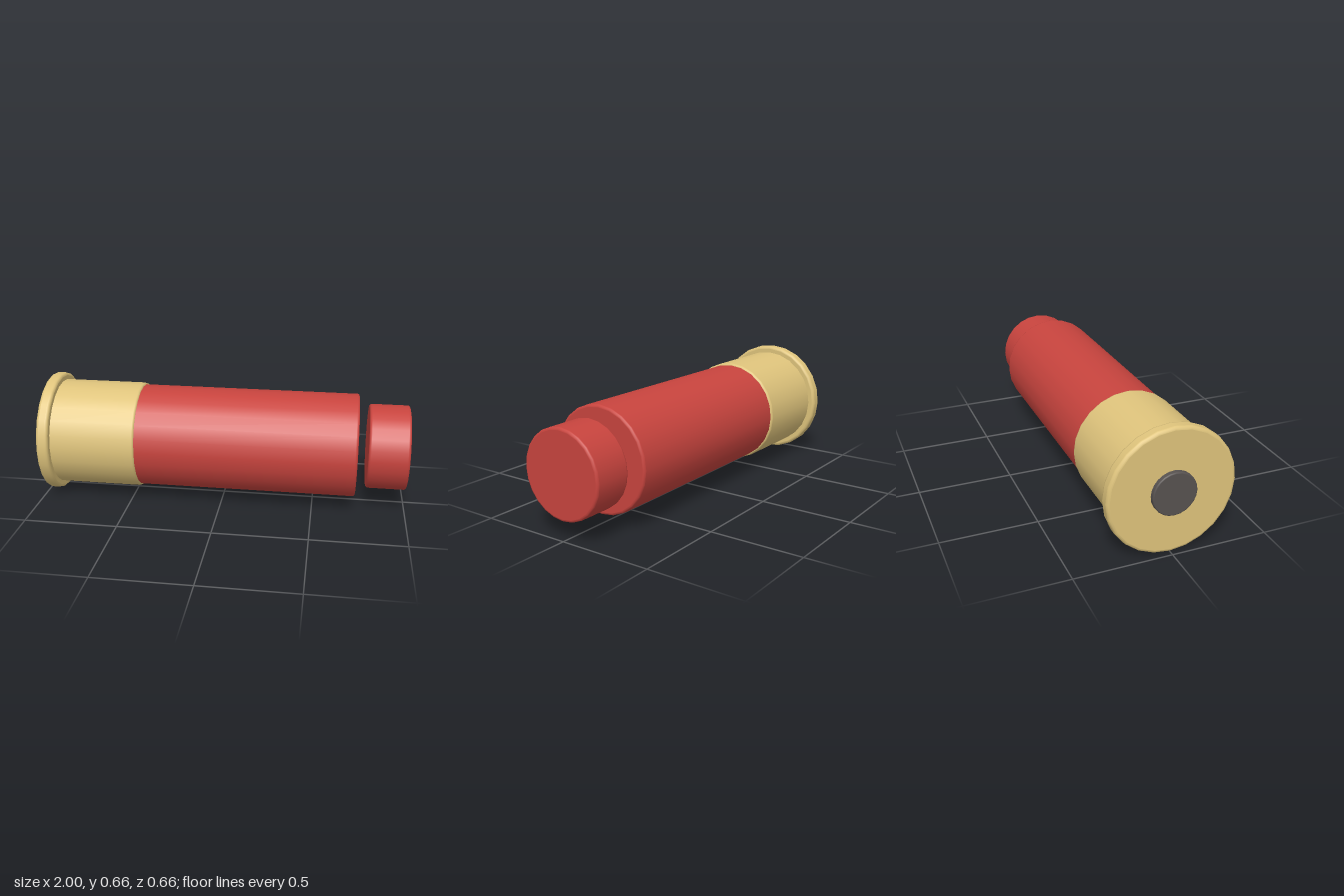
import * as THREE from 'three';

const SIDES = 24;
const AXIS_Y = 0.328;

const red = new THREE.MeshStandardMaterial({ color: 0xc8443e });
const brass = new THREE.MeshStandardMaterial({ color: 0xdfc47c });
const steel = new THREE.MeshStandardMaterial({ color: 0x575250 });

// Solid disc or drum along x with rounded edges; support rings keep the caps and wall flat-shaded
function drum(name, x0, x1, radius, bevel, material) {
  const eps = 0.001, steps = 3;
  const start = [], end = [];
  for (let i = 0; i <= steps; i++) {
    const a = (i / steps) * Math.PI / 2;
    const r = radius - bevel + bevel * Math.sin(a);
    const inset = bevel * (1 - Math.cos(a));
    start.push(new THREE.Vector2(r, x0 + inset));
    end.unshift(new THREE.Vector2(r, x1 - inset));
  }
  const profile = [
    new THREE.Vector2(0, x0),
    new THREE.Vector2(radius - bevel - eps, x0),
    ...start,
    new THREE.Vector2(radius, x0 + bevel + eps),
    new THREE.Vector2(radius, x1 - bevel - eps),
    ...end,
    new THREE.Vector2(radius - bevel - eps, x1),
    new THREE.Vector2(0, x1),
  ];
  const geometry = new THREE.LatheGeometry(profile, SIDES);
  geometry.rotateZ(-Math.PI / 2);
  const mesh = new THREE.Mesh(geometry, material);
  mesh.name = name;
  mesh.position.y = AXIS_Y;
  return mesh;
}

export function createModel() {
  const group = new THREE.Group();
  group.name = 'cartridge';
  group.add(
    // Metal base: primer button, wide rim and cup
    drum('primer', -1.0, -0.96, 0.113, 0.006, steel),
    drum('rim', -0.975, -0.91, 0.328, 0.015, brass),
    drum('brassCup', -0.93, -0.45, 0.29, 0.012, brass),
    // Plastic hull and the separate plug floating in front of it
    drum('hull', -0.48, 0.73, 0.28, 0.012, red),
    drum('plug', 0.785, 1.0, 0.229, 0.012, red),
  );
  return group;
}
